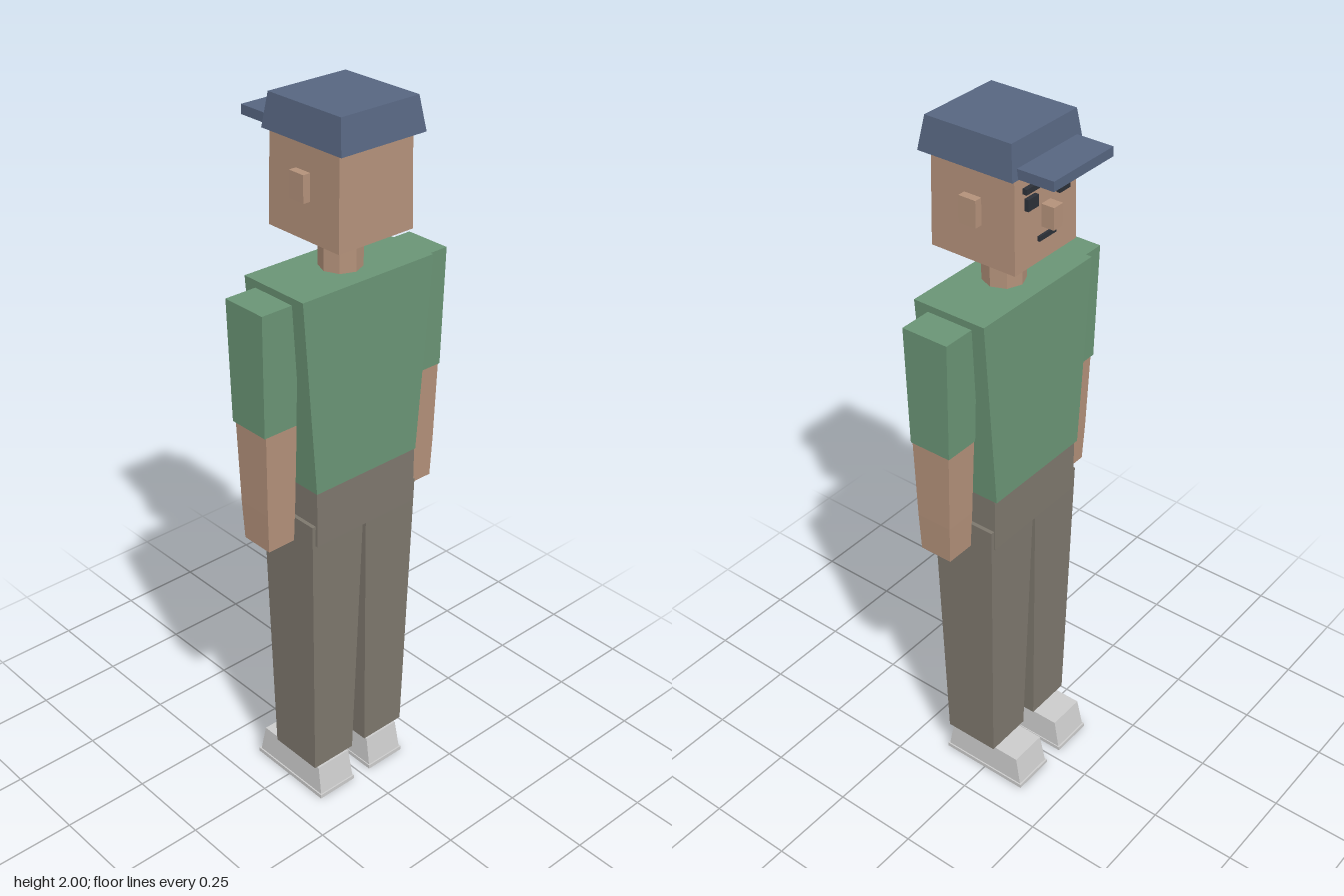
import * as THREE from 'three';

const COLORS = {
  skin: 0xb3917a, shirt: 0x6a9475, trousers: 0x7d776d,
  cap: 0x566580, shoe: 0xcccccc, dark: 0x2c3038,
};
const materials = {};
for (const key in COLORS) {
  materials[key] = new THREE.MeshStandardMaterial({ color: COLORS[key], flatShading: true });
}

// Box whose bottom and top rectangles are given as [x0, x1, z0, z1]
function taperedBox(name, mat, y0, y1, bottom, top = bottom) {
  const geo = new THREE.BoxGeometry(1, 1, 1);
  const p = geo.attributes.position;
  for (let i = 0; i < p.count; i++) {
    const r = p.getY(i) > 0 ? top : bottom;
    p.setXYZ(i, p.getX(i) > 0 ? r[1] : r[0], p.getY(i) > 0 ? y1 : y0, p.getZ(i) > 0 ? r[3] : r[2]);
  }
  geo.computeVertexNormals();
  const mesh = new THREE.Mesh(geo, materials[mat]);
  mesh.name = name;
  return mesh;
}

// Rectangle mirrored across x = 0
const flip = (r, s) => (s > 0 ? r : [-r[1], -r[0], r[2], r[3]]);

export function createModel() {
  const model = new THREE.Group();
  model.name = 'man';
  const add = (...args) => model.add(taperedBox(...args));

  // Head, neck and cap; the face points towards -z
  add('head', 'skin', 1.67, 1.93, [-0.119, 0.119, -0.086, 0.165], [-0.115, 0.115, -0.081, 0.161]);
  add('capCrown', 'cap', 1.913, 2, [-0.133, 0.133, -0.09, 0.187], [-0.121, 0.121, -0.078, 0.172]);
  add('capBrim', 'cap', 1.915, 1.94, [-0.112, 0.112, -0.189, -0.075]);
  add('nose', 'skin', 1.757, 1.815, [-0.017, 0.017, -0.12, -0.08]);
  add('mouth', 'dark', 1.725, 1.738, [-0.032, 0.032, -0.091, -0.08]);

  const neck = new THREE.Mesh(new THREE.CylinderGeometry(0.056, 0.056, 0.1, 8), materials.skin);
  neck.name = 'neck';
  neck.position.set(0, 1.61, 0.04);
  model.add(neck);

  // Body
  add('torso', 'shirt', 1.03, 1.57, [-0.172, 0.172, -0.068, 0.145], [-0.213, 0.213, -0.068, 0.145]);
  add('hips', 'trousers', 0.87, 1.03, [-0.17, 0.17, -0.06, 0.143]);

  // Paired parts, given for +x and mirrored
  for (const s of [1, -1]) {
    const side = s > 0 ? 'left' : 'right';
    const pair = (name, mat, y0, y1, bottom, top = bottom) =>
      add(side + name, mat, y0, y1, flip(bottom, s), flip(top, s));

    pair('Ear', 'skin', 1.77, 1.84, [0.105, 0.138, 0.013, 0.063]);
    pair('Eye', 'dark', 1.822, 1.852, [0.04, 0.08, -0.094, -0.078]);
    pair('Brow', 'dark', 1.866, 1.88, [0.034, 0.086, -0.094, -0.078]);

    pair('Sleeve', 'shirt', 1.22, 1.55, [0.198, 0.299, -0.023, 0.099], [0.192, 0.303, -0.03, 0.104]);
    pair('Forearm', 'skin', 0.99, 1.22, [0.2, 0.29, -0.01, 0.093], [0.196, 0.294, -0.018, 0.098]);
    pair('Hand', 'skin', 0.88, 0.99, [0.203, 0.286, -0.005, 0.09], [0.2, 0.29, -0.01, 0.093]);

    pair('Leg', 'trousers', 0.108, 0.93, [0.024, 0.165, -0.041, 0.123], [0.004, 0.181, -0.057, 0.137]);
    pair('Shoe', 'shoe', 0.012, 0.097, [0.033, 0.153, -0.129, 0.135], [0.036, 0.149, -0.112, 0.12]);
    pair('Sole', 'shoe', 0, 0.012, [0.03, 0.157, -0.134, 0.139]);
  }
  return model;
}
